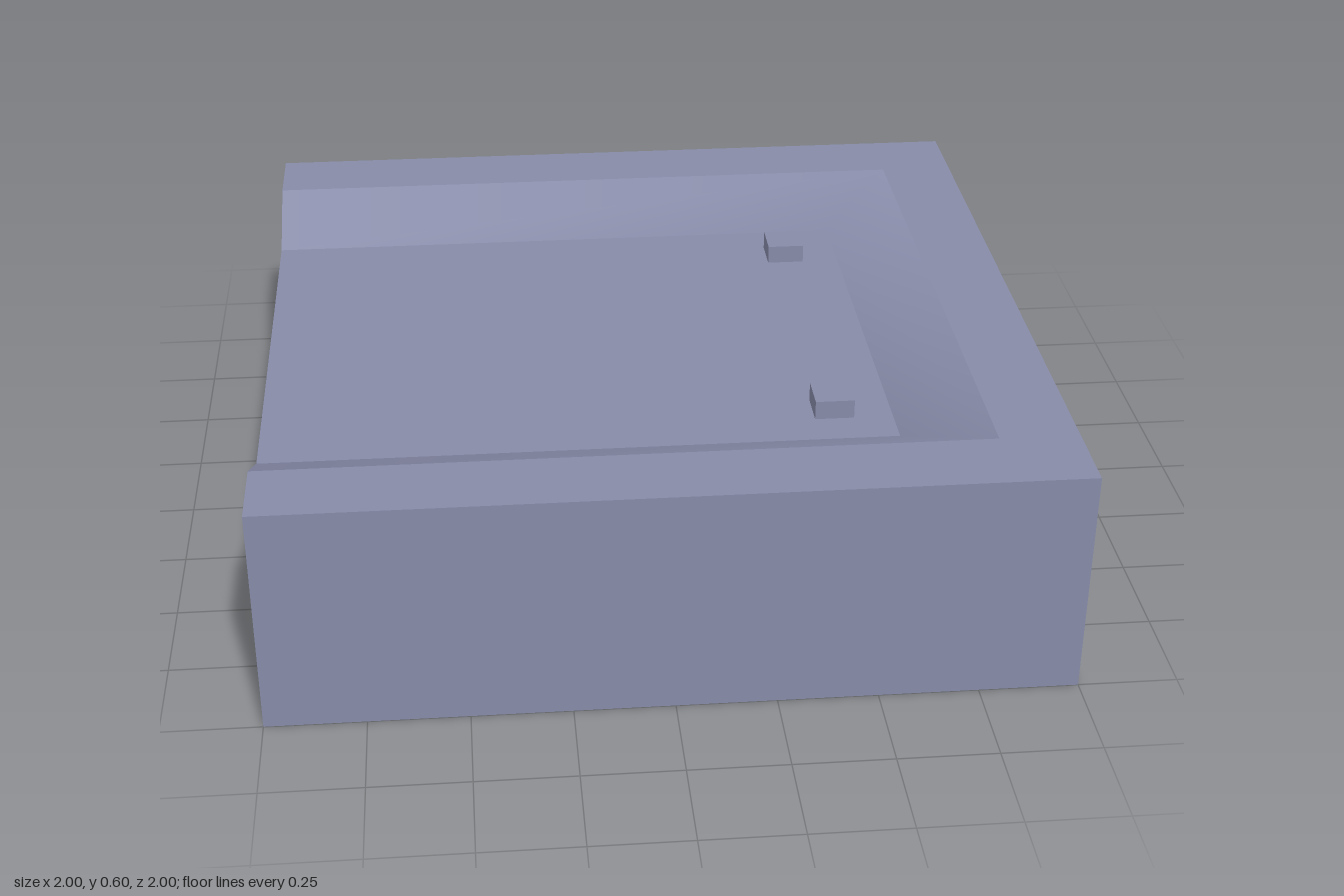
import * as THREE from 'three';

const HEIGHT = 0.6, FLOOR = 0.5;

// U-shaped path, open towards -x, at half-width e and height y
const uPath = (e, y) => [[-1, y, e], [e, y, e], [e, y, -e], [-1, y, -e]];

// Strip of quads between two U-shaped paths
function uStrip(outer, inner, smooth) {
  const geometry = new THREE.BufferGeometry();
  geometry.setAttribute('position', new THREE.Float32BufferAttribute([...outer, ...inner].flat(), 3));
  const index = [];
  for (let i = 0; i < 3; i++) index.push(i, i + 1, i + 5, i, i + 5, i + 4);
  geometry.setIndex(index);
  const result = smooth ? geometry : geometry.toNonIndexed();
  result.computeVertexNormals();
  return result;
}

export function createModel() {
  const group = new THREE.Group();
  const slate = new THREE.MeshStandardMaterial({ color: 0x878ba8 });
  slate.name = 'slate blue';

  const add = (name, geometry) => {
    const mesh = new THREE.Mesh(geometry, slate);
    mesh.name = name;
    group.add(mesh);
    return mesh;
  };

  // Outer walls, flat rim and the sloping sides of the basin
  add('outerWalls', uStrip(uPath(1, 0), uPath(1, HEIGHT), false));
  add('rim', uStrip(uPath(1, HEIGHT), uPath(0.8, HEIGHT), false));
  add('basinSlopes', uStrip(uPath(0.8, HEIGHT), uPath(0.6, FLOOR), true));

  // Basin floor, reaching the open end
  add('basinFloor', new THREE.PlaneGeometry(1.6, 1.2).rotateX(-Math.PI / 2).translate(-0.2, FLOOR, 0));

  // Underside
  add('underside', new THREE.PlaneGeometry(2, 2).rotateX(Math.PI / 2));

  // Open end, showing the basin's profile
  const profile = new THREE.Shape([
    [-1, 0], [1, 0], [1, HEIGHT], [0.8, HEIGHT], [0.6, FLOOR],
    [-0.6, FLOOR], [-0.8, HEIGHT], [-1, HEIGHT],
  ].map(([z, y]) => new THREE.Vector2(z, y)));
  add('openEnd', new THREE.ShapeGeometry(profile).rotateY(-Math.PI / 2).translate(-1, 0, 0));

  // Two small blocks on the floor
  for (const side of [-1, 1]) {
    const block = add(side > 0 ? 'frontBlock' : 'backBlock', new THREE.BoxGeometry(0.1, 0.05, 0.1));
    block.position.set(0.45, FLOOR + 0.025, side * 0.45);
  }

  return group;
}
